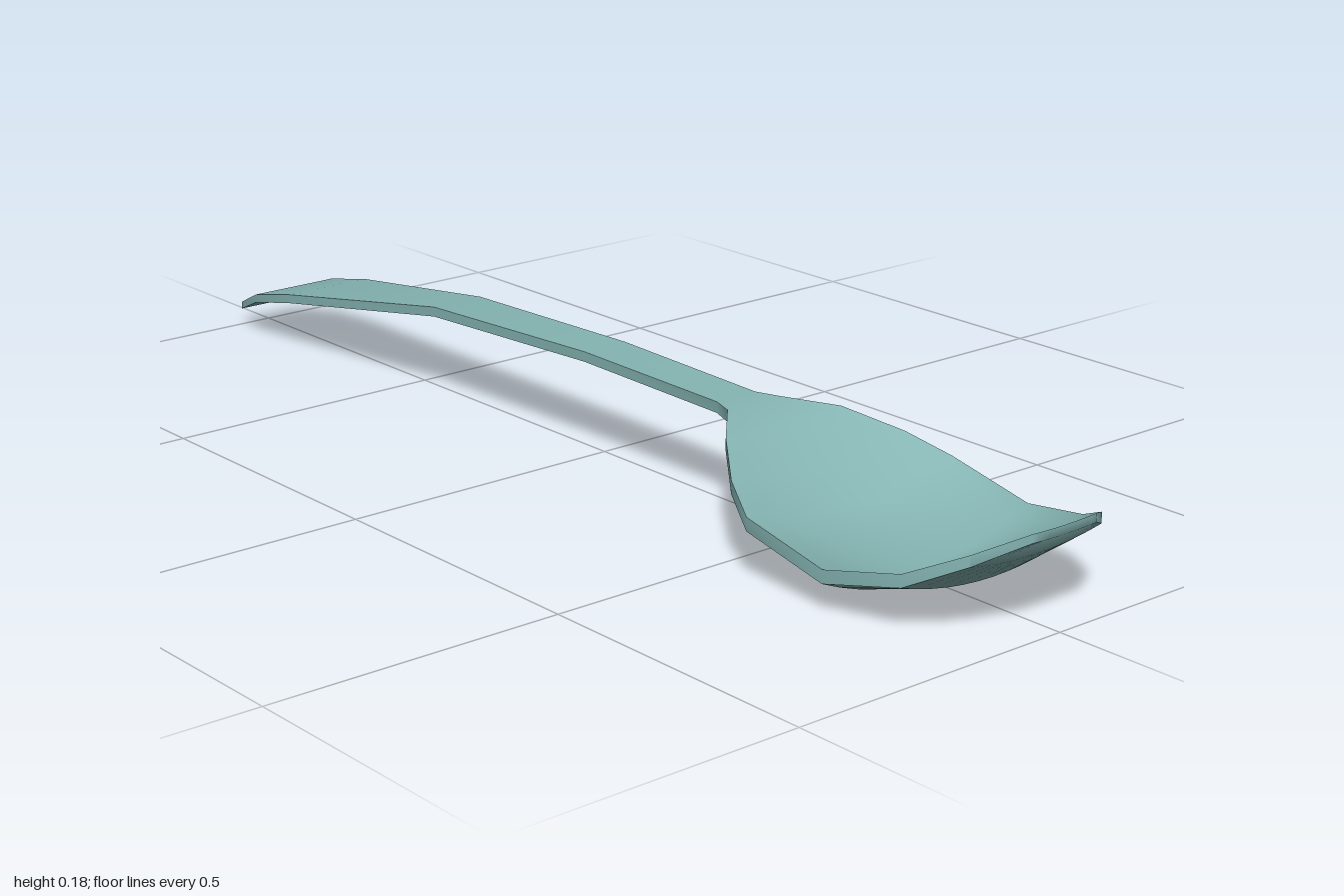
import * as THREE from 'three';
import { toCreasedNormals } from 'three/addons/utils/BufferGeometryUtils.js';

// Stations along the spoon: x, half width, rim height, thickness, bowl depth
const stations = [
  [-1.0, 0.058, 0.046, 0.013, 0],
  [-0.91, 0.084, 0.085, 0.015, 0],
  [-0.8, 0.083, 0.109, 0.016, 0],
  [-0.4, 0.05, 0.17, 0.017, 0],
  [0.0, 0.043, 0.184, 0.017, 0],
  [0.32, 0.04, 0.179, 0.018, 0],
  [0.36, 0.054, 0.179, 0.019, 0.001],
  [0.43, 0.12, 0.167, 0.02, 0.006],
  [0.51, 0.18, 0.134, 0.021, 0.018],
  [0.58, 0.213, 0.105, 0.022, 0.033],
  [0.74, 0.213, 0.072, 0.022, 0.047],
  [0.87, 0.187, 0.098, 0.021, 0.03],
  [0.95, 0.135, 0.137, 0.018, 0.013],
  [1.0, 0.065, 0.166, 0.014, 0.002],
];
const ACROSS = 12;

// Closed cross-section: dished top from right to left, then the underside back
function section([x, w, rim, t, depth]) {
  const ring = [];
  const point = (s, drop) => ring.push([x, rim - drop - depth * (1 - s * s), w * s]);
  for (let i = 0; i <= ACROSS; i++) point(-1 + (2 * i) / ACROSS, 0);
  for (let i = ACROSS; i >= 0; i--) point(-1 + (2 * i) / ACROSS, t);
  return ring;
}

function loft(rings) {
  const n = rings[0].length;
  const index = [];
  // Skin between neighbouring sections
  for (let i = 0; i < rings.length - 1; i++) {
    for (let j = 0; j < n; j++) {
      const k = (j + 1) % n;
      const a = i * n + j, b = i * n + k, c = a + n, d = b + n;
      index.push(a, b, d, a, d, c);
    }
  }
  // Caps at both ends
  const last = (rings.length - 1) * n;
  for (let j = 0; j < ACROSS; j++) {
    const p = j, q = j + 1, r = n - 2 - j, s = n - 1 - j;
    index.push(p, r, q, p, s, r);
    index.push(last + p, last + q, last + r, last + p, last + r, last + s);
  }
  const g = new THREE.BufferGeometry();
  g.setAttribute('position', new THREE.Float32BufferAttribute(rings.flat(2), 3));
  g.setIndex(index);
  return toCreasedNormals(g, 0.9);
}

export function createModel() {
  const group = new THREE.Group();
  group.name = 'spoon';
  // Handle and bowl are one continuous piece
  const body = new THREE.Mesh(
    loft(stations.map(section)),
    new THREE.MeshStandardMaterial({ color: 0x85b5b3 })
  );
  body.name = 'handleAndBowl';
  group.add(body);
  return group;
}
